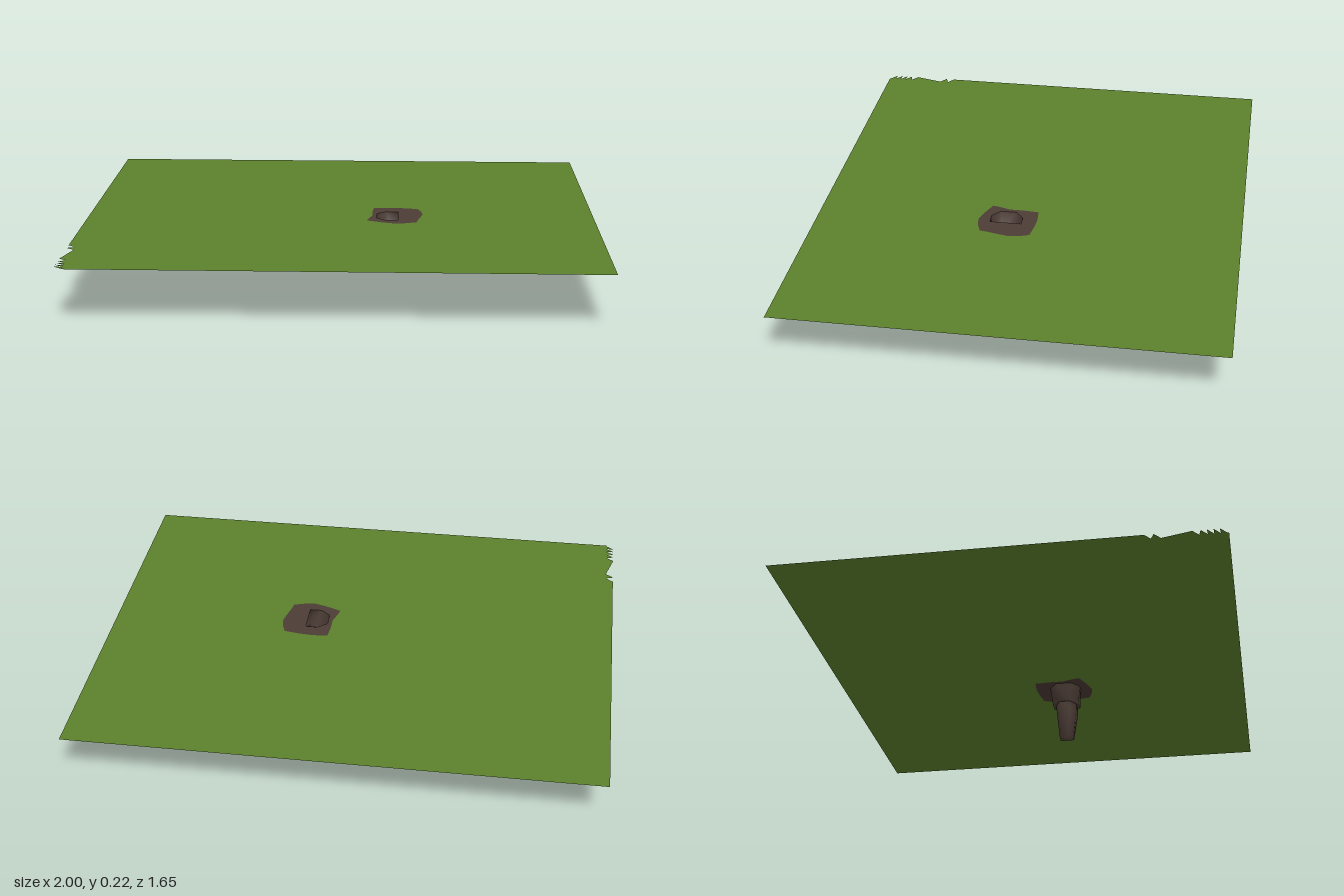
import * as THREE from 'three';

const TOP = 0.22;

export function createModel() {
  const model = new THREE.Group();
  const grass = new THREE.MeshStandardMaterial({ name: 'grass green', color: 0x5c812c, side: THREE.DoubleSide });
  const soil = new THREE.MeshStandardMaterial({ name: 'soil brown', color: 0x4c3c35, side: THREE.DoubleSide });

  // Points are [x, z]; shapes are drawn with y = -z and laid flat.
  const flat = (pts) => pts.map(([x, z]) => new THREE.Vector2(x, -z));
  const addSheet = (name, outline, hole, material) => {
    const shape = new THREE.Shape(flat(outline));
    shape.holes.push(new THREE.Path(flat(hole)));
    const geometry = new THREE.ShapeGeometry(shape);
    geometry.rotateX(-Math.PI / 2);
    geometry.translate(0, TOP, 0);
    const mesh = new THREE.Mesh(geometry, material);
    mesh.name = name;
    model.add(mesh);
  };

  // Uneven outline of the bare earth
  const patch = [
    [0.13, -0.03], [0.19, -0.035], [0.245, -0.03], [0.305, -0.02], [0.32, 0.02], [0.325, 0.06],
    [0.315, 0.105], [0.305, 0.145], [0.3, 0.175], [0.255, 0.19], [0.215, 0.195], [0.165, 0.18],
    [0.14, 0.17], [0.105, 0.155], [0.11, 0.13], [0.125, 0.085], [0.125, 0.03],
  ];

  // Burrow cross-section: straight on the right, chamfered on the left
  const section = (x0, x1, z0, z1) => {
    const c = (x1 - x0) * 0.45, d = (z1 - z0) * 0.25;
    return [[x1, z0], [x1, z1], [x0 + c, z1], [x0, z1 - d], [x0, z0 + d], [x0 + c, z0]];
  };
  const mouth = section(0.143, 0.227, 0.025, 0.148);

  // Lawn with small torn notches on its left edge
  const lawn = [[-1, -0.83], [1, -0.83], [1, 0.825], [-0.97, 0.825]];
  for (const z of [0.795, 0.773, 0.75, 0.728, 0.698, 0.565, 0.53]) {
    lawn.push([-1, z + 0.002], [-1, z], [-0.97, z + 0.025].map((v, i) => (i ? z - 0.001 : v)));
    lawn.pop();
    lawn.splice(lawn.length - 2, 0, [-0.97, z + 0.024]);
  }
  addSheet('lawn', lawn, patch, grass);
  addSheet('earthPatch', patch, mouth, soil);

  // Wall lofted between cross-sections, each ring being [y, section]
  const addLoft = (name, rings, closed) => {
    const n = rings[0][1].length;
    const positions = [], index = [];
    for (const [y, pts] of rings) for (const [x, z] of pts) positions.push(x, y, z);
    for (let r = 0; r < rings.length - 1; r++) {
      for (let i = 0; i < n; i++) {
        const a = r * n + i, b = r * n + (i + 1) % n;
        index.push(a, b, a + n, b, b + n, a + n);
      }
    }
    if (closed) {
      const base = (rings.length - 1) * n;
      for (let i = 1; i < n - 1; i++) index.push(base, base + i, base + i + 1);
    }
    const geometry = new THREE.BufferGeometry();
    geometry.setAttribute('position', new THREE.Float32BufferAttribute(positions, 3));
    geometry.setIndex(index);
    geometry.computeVertexNormals();
    // Face the walls outward
    const mesh = new THREE.Mesh(geometry, soil);
    mesh.name = name;
    model.add(mesh);
  };

  // Flared collar under the entrance, with its lower ledge
  const neck = section(0.17, 0.253, 0.045, 0.13);
  addLoft('burrowCollar', [
    [TOP, mouth],
    [0.15, section(0.16, 0.253, 0.033, 0.14)],
    [0.15, neck],
  ], false);

  // Tapering shaft, bulging to the right, closed at the bottom
  addLoft('burrowShaft', [
    [0.15, neck],
    [0.12, section(0.172, 0.266, 0.047, 0.128)],
    [0, section(0.185, 0.235, 0.06, 0.115)],
  ], true);

  return model;
}
